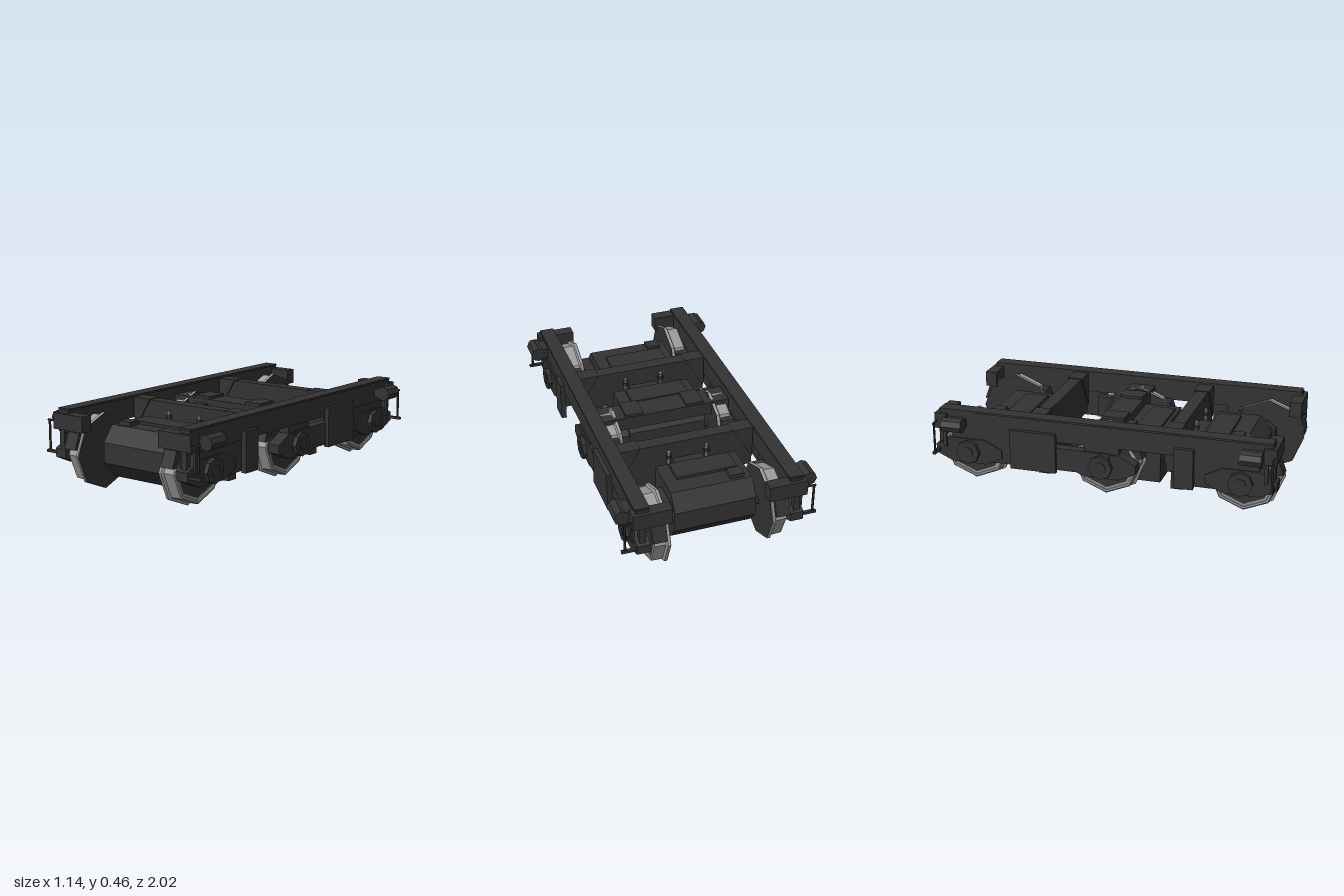
import * as THREE from 'three';

const dark = new THREE.MeshStandardMaterial({ color: 0x333333, flatShading: true });
dark.name = 'dark frame paint';
const steel = new THREE.MeshStandardMaterial({ color: 0x9a9a9a, flatShading: true, side: THREE.DoubleSide });
steel.name = 'worn steel';

const AXLE_Y = 0.215;

export function createModel() {
  const model = new THREE.Group();
  model.name = 'threeAxleTruck';

  const add = (name, geometry, material = dark) => {
    const mesh = new THREE.Mesh(geometry, material);
    mesh.name = name;
    model.add(mesh);
    return mesh;
  };
  // Box given by its limits, in any order
  const box = (name, x0, x1, y0, y1, z0, z1, mat) => {
    const g = new THREE.BoxGeometry(Math.abs(x1 - x0), Math.abs(y1 - y0), Math.abs(z1 - z0));
    g.translate((x0 + x1) / 2, (y0 + y1) / 2, (z0 + z1) / 2);
    return add(name, g, mat);
  };
  // Side outline in [z, y], extruded between two x limits
  const prism = (name, points, x0, x1, mat) => {
    const shape = new THREE.Shape(points.map(([z, y]) => new THREE.Vector2(z, y)));
    const g = new THREE.ExtrudeGeometry(shape, { depth: Math.abs(x1 - x0), bevelEnabled: false });
    g.rotateY(-Math.PI / 2).translate(Math.max(x0, x1), 0, 0);
    return add(name, g, mat);
  };
  // Cylinder along an axis, centred at a point
  const rod = (name, axis, r, length, x, y, z, sides = 8, mat = dark) => {
    const g = new THREE.CylinderGeometry(r, r, length, sides);
    if (axis === 'x') g.rotateZ(Math.PI / 2);
    if (axis === 'z') g.rotateX(Math.PI / 2);
    return add(name, g.translate(x, y, z), mat);
  };
  const lathe = (name, points, s, z, mat) => {
    const g = new THREE.LatheGeometry(points.map(([r, x]) => new THREE.Vector2(r, x)), 8);
    g.rotateZ(-s * Math.PI / 2).translate(0, AXLE_Y, z);
    return add(name, g, mat);
  };

  // Wheelsets
  for (const z of [0.79, 0, -0.79]) {
    rod('axle', 'x', 0.022, 0.8, 0, AXLE_Y, z);
    for (const s of [1, -1]) {
      lathe('wheelTyre', [[0.213, 0.287], [0.215, 0.29], [0.215, 0.303], [0.2, 0.31],
        [0.197, 0.372], [0.19, 0.377], [0.178, 0.377], [0.176, 0.37], [0.164, 0.37]], s, z, steel);
      lathe('wheelDisc', [[0, 0.285], [0.213, 0.285], [0.213, 0.289], [0.168, 0.3],
        [0.168, 0.366], [0, 0.366]], s, z);
      // Brake blocks on both sides of the wheel
      for (const d of [1, -1]) {
        const w = z + d * 0.15;
        prism('brakeBlock', [[w - d * 0.035, 0.34], [w + d * 0.035, 0.34],
          [w + d * 0.068, 0.25], [w + d * 0.035, 0.25]], s * 0.305, s * 0.385);
      }
    }
  }

  // Traction motors, d is the direction of the nose
  for (const [z, d] of [[0.79, -1], [0, 1], [-0.79, 1]]) {
    const at = (o) => z + d * o;
    prism('motorCasing', [[at(-0.04), 0.155], [at(-0.04), 0.27], [at(0.03), 0.36], [at(0.285), 0.36],
      [at(0.285), 0.07], [at(0.03), 0.07]], -0.26, 0.205);
    prism('gearCase', [[at(-0.055), 0.16], [at(-0.055), 0.27], [at(0, 0), 0.31], [at(0.16), 0.31],
      [at(0.21), 0.27], [at(0.21), 0.16], [at(0.16), 0.115], [at(0), 0.115]], 0.21, 0.27);
    box('motorHatch', -0.21, 0.135, 0.36, 0.376, at(0.13), at(0.265));
    box('terminalBox', -0.22, -0.14, 0.35, 0.384, at(0.045), at(0.115));
    box('motorNose', -0.09, 0.085, 0.25, 0.34, at(0.28), at(0.37));
    for (const x of [-0.11, 0.11]) {
      box('noseBracket', x - 0.025, x + 0.025, 0.27, 0.3, at(0.285), at(0.36));
      rod('nosePin', 'y', 0.01, 0.15, x, 0.33, at(0.335), 8, steel);
      rod('noseNut', 'y', 0.017, 0.02, x, 0.372, at(0.335), 6);
    }
  }

  // Cross members
  for (const z of [0.39, -0.4]) {
    box('transom', -0.39, 0.39, 0.2, 0.445, z - 0.037, z + 0.037);
    box('transomWeb', -0.29, 0.29, 0.055, 0.2, z - 0.035, z + 0.035);
    for (const s of [1, -1]) {
      // Triangular corner gusset
      const shape = new THREE.Shape([[0.39, 0.45], [0.27, 0.45], [0.39, 0.25]]
        .map(([x, y]) => new THREE.Vector2(s * x, y)));
      const g = new THREE.ExtrudeGeometry(shape, { depth: 0.09, bevelEnabled: false });
      add('transomGusset', g.translate(0, 0, z - 0.045));
    }
  }
  box('centreBolster', -0.39, 0.39, 0.33, 0.41, -0.075, 0.07);
  for (const s of [1, -1]) box('bolsterPad', s * 0.13, s * 0.235, 0.41, 0.425, -0.07, 0.065);

  for (const s of [1, -1]) {
    // Side beam with cap strip
    box('sideBeam', s * 0.395, s * 0.465, 0.33, 0.452, -0.965, 0.965);
    box('beamCap', s * 0.388, s * 0.472, 0.45, 0.461, -0.96, 0.96);

    // Hanging side plates
    box('narrowSidePlate', s * 0.46, s * 0.49, 0.15, 0.38, 0.42, 0.53);
    box('wideSidePlate', s * 0.46, s * 0.49, 0.15, 0.38, -0.53, -0.26);
    box('equaliserBar', s * 0.41, s * 0.47, 0.165, 0.295, -0.3, 0.05);

    // Axle boxes
    for (const z of [0.79, 0, -0.79]) {
      prism('axleBoxArm', [[z - 0.2, 0.19], [z - 0.1, 0.145], [z + 0.1, 0.145], [z + 0.2, 0.19],
        [z + 0.2, 0.24], [z + 0.1, 0.29], [z - 0.1, 0.29], [z - 0.2, 0.24]], s * 0.395, s * 0.468);
      box('pedestal', s * 0.4, s * 0.46, 0.28, 0.335, z - 0.1, z + 0.1);
      rod('bearingCap', 'x', 0.07, 0.03, s * 0.477, AXLE_Y, z);
      rod('bearingHub', 'x', 0.035, 0.02, s * 0.487, AXLE_Y, z);
    }
    for (const d of [1, -1]) {
      box('axleBoxLink', s * 0.4, s * 0.46, 0.16, 0.33, d * 0.52, d * 0.72);

      // End blocks, brake cylinders and step irons
      box('endBlock', s * 0.27, s * 0.487, 0.345, 0.435, d * 0.915, d * 0.985);
      rod('brakeCylinder', 'z', 0.043, 0.12, s * 0.527, 0.388, d * 0.855);
      box('cylinderBracket', s * 0.46, s * 0.51, 0.36, 0.415, d * 0.8, d * 0.91);
      rod('stepIron', 'y', 0.007, 0.18, s * 0.528, 0.3, d * 0.972, 6);
      rod('stepIronTop', 'x', 0.006, 0.06, s * 0.51, 0.388, d * 0.972, 6);
      box('stepTread', s * 0.43, s * 0.548, 0.205, 0.22, d * 0.962, d * 0.98);
      box('endHanger', s * 0.415, s * 0.45, 0.2, 0.35, d * 0.945, d * 0.975);
      box('sandPipe', s * 0.465, s * 0.48, 0.23, 0.345, d * 0.92, d * 0.94);
    }
  }
  return model;
}
